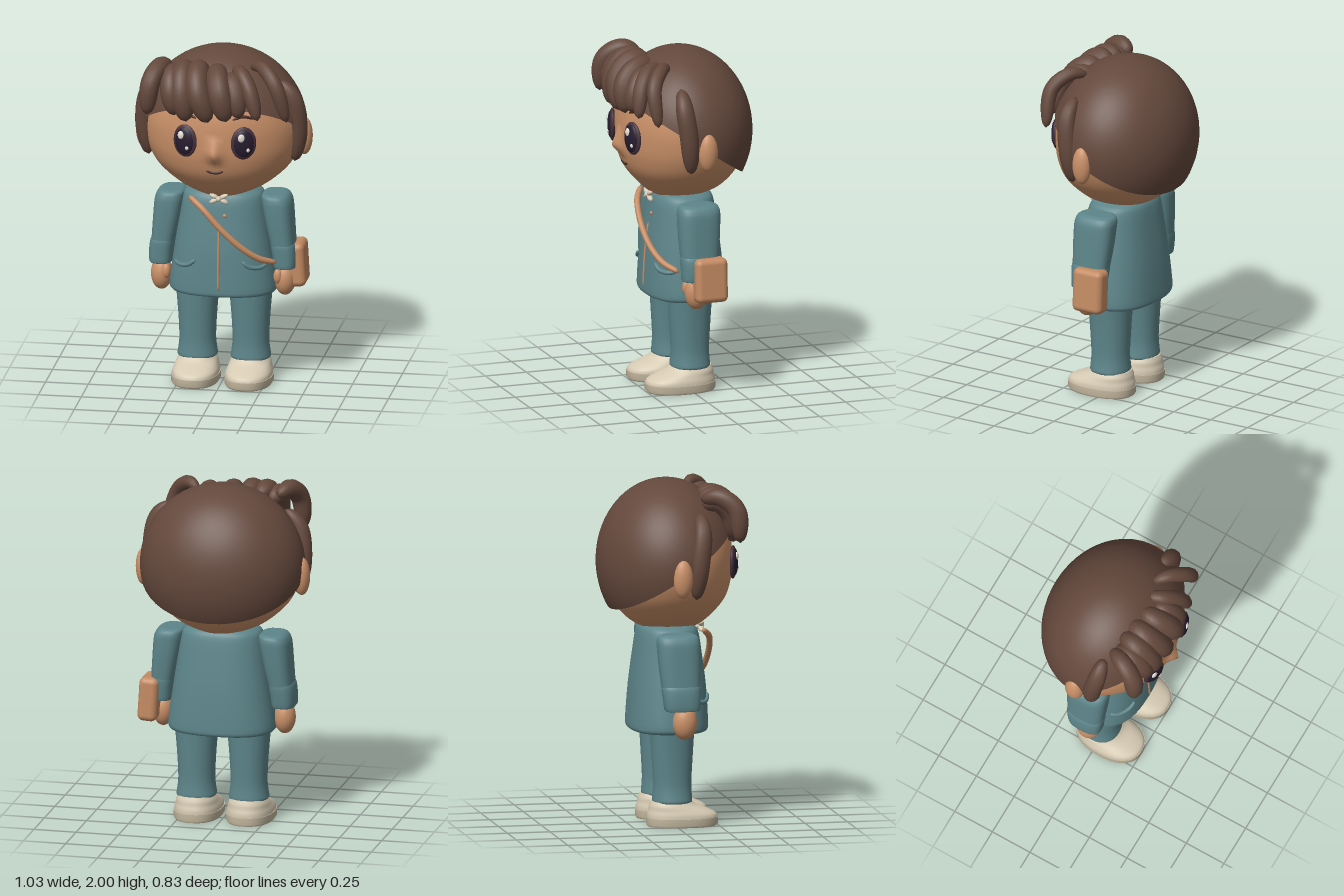
import * as THREE from 'three';
import { mergeVertices } from 'three/addons/utils/BufferGeometryUtils.js';
import { RoundedBoxGeometry } from 'three/addons/geometries/RoundedBoxGeometry.js';

const mat = (name, color, side = THREE.FrontSide) => {
  const m = new THREE.MeshStandardMaterial({ color, side });
  m.name = name;
  return m;
};

// Ring: [y, centreX, centreZ, radiusX, radiusZ]. Interpolates a stack of rings at height y.
function ringAt(rings, y) {
  let i = 0;
  while (i < rings.length - 2 && rings[i + 1][0] < y) i++;
  const t = (y - rings[i][0]) / (rings[i + 1][0] - rings[i][0]);
  return rings[i].map((v, k) => v + (rings[i + 1][k] - v) * t);
}

// Depth of the front surface of a stack of rings
function frontZ(rings, x, y, p) {
  const [, cx, cz, rx, rz] = ringAt(rings, y);
  return cz + rz * Math.pow(Math.max(0, 1 - Math.pow(Math.abs((x - cx) / rx), p)), 1 / p);
}

// Closed superellipse loft through rings listed from bottom to top
function loft(rings, p = 2, sub = 1, seg = 40, move) {
  const rows = [];
  for (let i = 0; i < rings.length - 1; i++) {
    const r0 = rings[Math.max(i - 1, 0)], r1 = rings[i], r2 = rings[i + 1];
    const r3 = rings[Math.min(i + 2, rings.length - 1)];
    for (let s = 0; s < sub; s++) {
      const t = s / sub;
      rows.push(r1.map((v, k) => 0.5 * (2 * v + (r2[k] - r0[k]) * t
        + (2 * r0[k] - 5 * v + 4 * r2[k] - r3[k]) * t * t
        + (3 * v - r0[k] - 3 * r2[k] + r3[k]) * t * t * t)));
    }
  }
  rows.push(rings[rings.length - 1]);
  const pos = [], idx = [];
  const addRing = ([y, cx, cz, rx, rz]) => {
    for (let j = 0; j < seg; j++) {
      const a = j / seg * Math.PI * 2, c = Math.cos(a), s = Math.sin(a);
      const v = new THREE.Vector3(cx + rx * Math.sign(c) * Math.abs(c) ** (2 / p), y,
        cz + rz * Math.sign(s) * Math.abs(s) ** (2 / p));
      if (move) move(v);
      pos.push(v.x, v.y, v.z);
    }
  };
  rows.forEach(addRing);
  for (let i = 0; i < rows.length - 1; i++) for (let j = 0; j < seg; j++) {
    const a = i * seg + j, b = i * seg + (j + 1) % seg;
    idx.push(a, a + seg, b + seg, a, b + seg, b);
  }
  // Flat end caps with their own vertices
  [[rows[0], false], [rows[rows.length - 1], true]].forEach(([r, top]) => {
    const base = pos.length / 3;
    addRing(r);
    pos.push(r[1], r[0], r[2]);
    for (let j = 0; j < seg; j++) {
      const a = base + j, b = base + (j + 1) % seg;
      idx.push(base + seg, top ? b : a, top ? a : b);
    }
  });
  const g = new THREE.BufferGeometry();
  g.setAttribute('position', new THREE.Float32BufferAttribute(pos, 3));
  g.setIndex(idx);
  g.computeVertexNormals();
  return g;
}

// Tube with rounded, narrowing ends; a larger power keeps it thick for longer
function lock(points, r, power = 3, ts = 24, rs = 12) {
  const curve = new THREE.CatmullRomCurve3(points.map(q => new THREE.Vector3(...q)));
  let g = new THREE.TubeGeometry(curve, ts, r, rs);
  const P = g.attributes.position, v = new THREE.Vector3();
  for (let i = 0; i <= ts; i++) {
    const c = curve.getPointAt(i / ts);
    const f = Math.sqrt(Math.max(0, 1 - Math.abs(2 * i / ts - 1) ** power));
    for (let j = 0; j <= rs; j++) {
      const k = i * (rs + 1) + j;
      v.fromBufferAttribute(P, k).sub(c).multiplyScalar(f).add(c);
      P.setXYZ(k, v.x, v.y, v.z);
    }
  }
  g.deleteAttribute('uv');
  g.deleteAttribute('normal');
  g = mergeVertices(g, 1e-5);
  g.computeVertexNormals();
  return g;
}

export function createModel() {
  const root = new THREE.Group();
  const skin = mat('skin', 0xc99068), hair = mat('hair brown', 0x64483c, THREE.DoubleSide);
  const teal = mat('teal cloth', 0x5d858a), cream = mat('shoe cream', 0xd6cab3);
  const sole = mat('sole beige', 0xc4b89f), tan = mat('tan leather', 0xc48b63);
  const rim = mat('eye rim', 0x46303a), dark = mat('pupil dark', 0x271c30);
  const white = mat('highlight', 0xe9e2d6), line = mat('dark brown line', 0x4a2c24);

  const add = (name, geo, m, parent = root) => {
    const mesh = new THREE.Mesh(geo, m);
    mesh.name = name;
    parent.add(mesh);
    return mesh;
  };
  const ball = (name, p, r, m, parent) => {
    const b = add(name, new THREE.SphereGeometry(1, 28, 18), m, parent);
    b.position.set(...p);
    b.scale.set(...r);
    return b;
  };

  // Head with a pointed nose drawn out of the face
  const head = [[1.12, 0, 0, .05, .05], [1.14, 0, 0, .13, .15], [1.2, 0, -.01, .26, .24],
    [1.3, 0, -.008, .375, .322], [1.4, 0, -.01, .435, .36], [1.5, 0, -.012, .46, .373],
    [1.6, 0, -.012, .46, .372], [1.7, 0, -.01, .43, .35], [1.8, 0, -.01, .36, .29],
    [1.9, 0, 0, .2, .15], [1.93, 0, 0, .04, .04]];
  add('head', loft(head, 2, 5, 96, v => {
    if (v.z < 0) return;
    const dy = v.y - 1.45;
    v.z += .055 * Math.max(0, 1 - Math.abs(v.x) / .07) ** 1.3
      * Math.max(0, 1 - Math.abs(dy) / (dy > 0 ? .11 : .07));
  }), skin);
  const onFace = (x, y, lift = 0) => [x, y, frontZ(head, x, y, 2) + lift];

  for (const s of [1, -1]) {
    ball('ear', [s * .468, 1.48, -.012], [.047, .112, .057], skin);
    // Eyes
    const eye = new THREE.Group();
    eye.name = 'eye';
    eye.position.set(...onFace(s * .17, 1.525, .008));
    eye.rotation.y = s * .31;
    root.add(eye);
    ball('eyeRim', [0, 0, 0], [.074, .097, .022], rim, eye);
    ball('pupil', [0, 0, .008], [.06, .082, .022], dark, eye);
    ball('largeHighlight', [-.016, .036, .024], [.02, .025, .01], white, eye);
    ball('smallHighlight', [.022, -.036, .024], [.011, .013, .008], white, eye);
    add('eyebrow', lock([onFace(s * .105, 1.66, .004), onFace(s * .16, 1.678, .004),
      onFace(s * .225, 1.662, .004)], .009), line);
  }
  add('mouth', lock([onFace(-.05, 1.348, .003), onFace(-.025, 1.336, .003), onFace(.025, 1.336, .003),
    onFace(.05, 1.348, .003)], .008, 6), line);

  // Hair cap, cut on a slope from forehead to nape
  const cap = new THREE.SphereGeometry(1, 48, 28, 0, Math.PI * 2, 0, 1.64);
  cap.rotateX(-.517);
  cap.scale(.482, .48, .405);
  cap.translate(0, 1.52, -.012);
  add('hairCap', cap, hair);

  // Fringe locks: path and thickness
  [
    [[[-.29, 1.91, .13], [-.335, 1.93, .23], [-.375, 1.86, .32], [-.395, 1.67, .34]], .056],
    [[[-.25, 1.87, .14], [-.265, 1.89, .24], [-.26, 1.82, .31], [-.235, 1.67, .33]], .062],
    [[[-.18, 1.9, .13], [-.2, 1.91, .24], [-.195, 1.82, .32], [-.165, 1.64, .345]], .068],
    [[[-.09, 1.9, .13], [-.115, 1.91, .24], [-.1, 1.82, .33], [-.035, 1.64, .35]], .07],
    [[[.0, 1.9, .15], [.0, 1.9, .24], [.025, 1.82, .33], [.07, 1.65, .35]], .068],
    [[[.09, 1.9, .13], [.13, 1.91, .22], [.19, 1.84, .29], [.25, 1.66, .335]], .046],
    [[[.07, 1.88, .2], [.09, 1.87, .26], [.12, 1.8, .31], [.14, 1.67, .335]], .055],
    [[[.18, 1.92, .13], [.25, 1.94, .19], [.34, 1.86, .27], [.41, 1.64, .27]], .043],
  ].forEach(([path, r]) => add('fringeLock', lock(path, r), hair));
  for (const s of [1, -1]) add('sideLock', lock([[.34, 1.84, .11], [.42, 1.74, .115],
    [.448, 1.56, .095], [.425, 1.35, .075]].map(([x, y, z]) => [s * x, y, z]), .055), hair);

  // Coat
  const coat = [[.545, 0, -.012, .29, .21], [.555, 0, -.012, .308, .224], [.6, 0, -.012, .313, .227],
    [.8, 0, -.01, .285, .215], [1, 0, -.01, .255, .19], [1.1, 0, -.01, .238, .175],
    [1.14, 0, -.012, .22, .16], [1.16, 0, -.012, .18, .14]];
  add('coat', loft(coat, 2.5, 3, 56), teal);
  const onCoat = (x, y, lift = .004) => [x, y, frontZ(coat, x, y, 2.5) + lift];
  add('zip', lock([.585, .7, .85, .97].map(y => onCoat(0, y, .001)), .007, 20), tan);
  ball('button', onCoat(.033, 1.03), [.012, .012, .008], tan);

  // Neck bow
  for (const sx of [1, -1]) for (const sy of [1, -1]) {
    const petal = ball('bowLoop', [sx * .028, 1.135 + sy * .014, .185], [.028, .014, .016], cream);
    petal.rotation.z = sx * sy * .45;
  }
  ball('bowKnot', [0, 1.135, .195], [.015, .015, .014], cream);

  for (const s of [1, -1]) {
    add('pocketFlap', lock([onCoat(s * .27, .735), onCoat(s * .235, .722), onCoat(s * .18, .73),
      onCoat(s * .135, .765)], .013, 6), teal);

    // Sleeve, cuff and hand
    add('sleeve', loft([[.8, s * .352, 0, .068, .108], [.95, s * .33, -.005, .08, .12],
      [1.06, s * .315, -.008, .087, .124], [1.1, s * .308, -.01, .085, .122],
      [1.125, s * .3, -.01, .076, .112], [1.135, s * .295, -.01, .055, .085]], 2.8, 3), teal);
    add('cuff', loft([[.7, s * .362, .005, .06, .095], [.705, s * .362, .005, .068, .103],
      [.76, s * .36, .002, .072, .108], [.82, s * .352, 0, .074, .113],
      [.84, s * .348, 0, .07, .11]], 2.8, 2), teal);
    ball('hand', [s * .36, .625, .02], [.062, .098, .07], skin);
    ball('thumb', [s * .325, .65, .07], [.025, .045, .025], skin);

    // Trouser leg
    add('trouserLeg', loft([[.135, s * .155, -.012, .105, .105], [.145, s * .155, -.012, .116, .115],
      [.18, s * .155, -.012, .111, .113], [.25, s * .155, -.012, .105, .11],
      [.4, s * .155, -.012, .112, .118], [.57, s * .155, -.012, .127, .128]], 2.2, 3), teal);

    // Shoe
    add('sole', loft([[0, s * .155, .045, .132, .2], [.012, s * .155, .047, .139, .208],
      [.05, s * .155, .047, .139, .208]], 2.3), sole);
    add('shoeUpper', loft([[.045, s * .155, .047, .135, .205], [.07, s * .155, .043, .133, .2],
      [.095, s * .155, .022, .124, .172], [.12, s * .155, -.008, .115, .138],
      [.145, s * .155, -.018, .1, .118]], 2.3, 3), cream);
  }

  // Shoulder strap and bag
  add('bagStrap', lock([[-.18, 1.14, .165], [-.09, 1.08, .22], [.02, .965, .235], [.13, .86, .22],
    [.23, .785, .18], [.325, .745, .115]], .018, 16, 40), tan);
  const bag = add('bag', new RoundedBoxGeometry(.115, .26, .195, 4, .035), tan);
  bag.position.set(.42, .71, -.04);
  bag.rotation.z = .06;
  return root;
}
